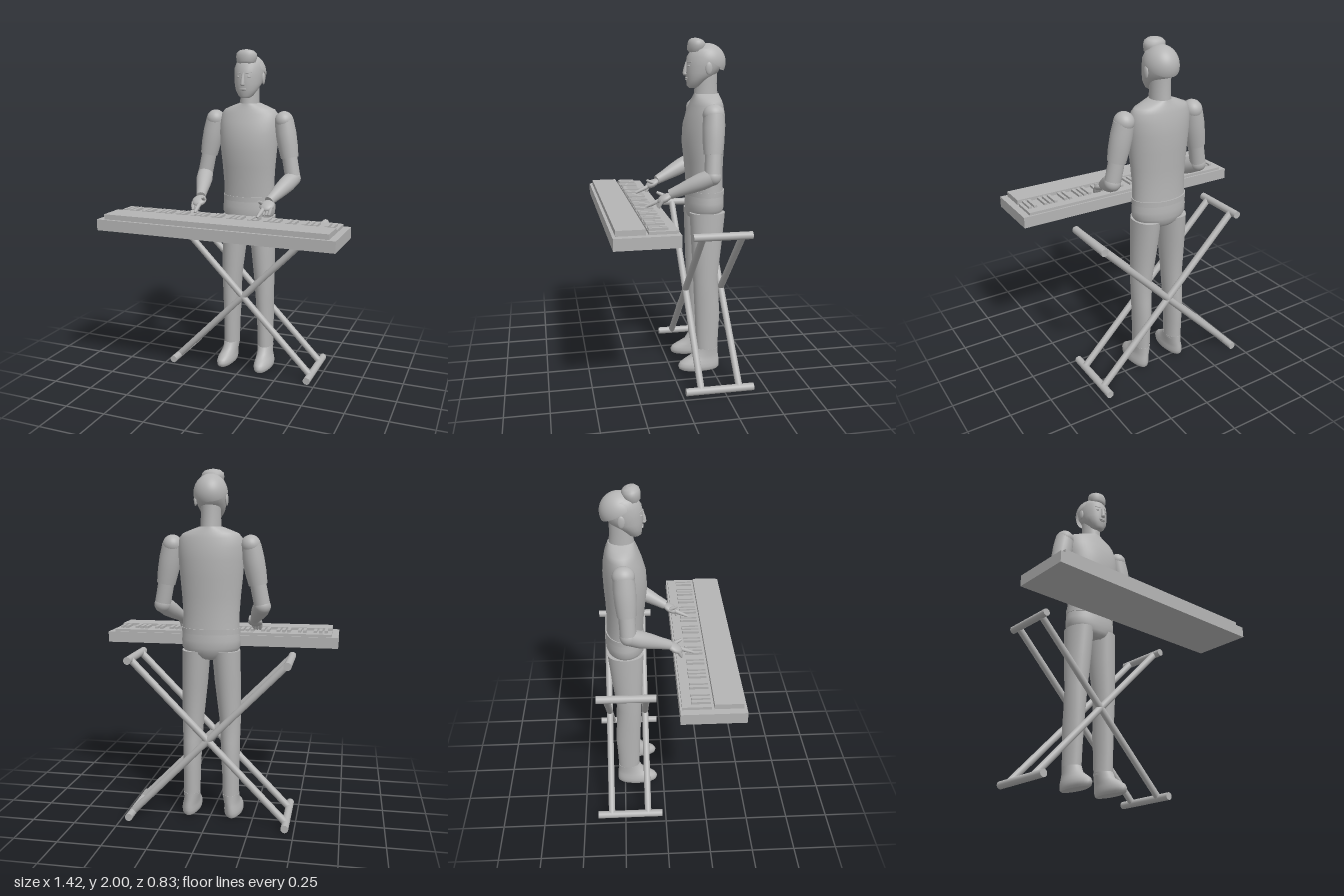
import * as THREE from 'three';

const grey = new THREE.MeshStandardMaterial({ color: 0xb4b4b4, side: THREE.DoubleSide });
grey.name = 'plain grey';
const V = (x, y, z) => new THREE.Vector3(x, y, z);

// Closed loft through elliptical rings, bottom to top: [y, centreX, halfWidth, zFront, zBack]
function loft(rings, n = 32) {
  const pos = [], idx = [];
  const addRing = ([y, cx, hx, zf, zb]) => {
    for (let i = 0; i <= n; i++) {
      const a = (i / n) * Math.PI * 2;
      pos.push(cx + hx * Math.cos(a), y, (zf + zb) / 2 + ((zf - zb) / 2) * Math.sin(a));
    }
  };
  rings.forEach(addRing);
  const w = n + 1;
  for (let r = 0; r < rings.length - 1; r++) {
    for (let i = 0; i < n; i++) {
      const a = r * w + i;
      idx.push(a, a + w, a + 1, a + 1, a + w, a + w + 1);
    }
  }
  for (const top of [false, true]) {
    const ring = top ? rings[rings.length - 1] : rings[0];
    const start = pos.length / 3;
    addRing(ring);
    pos.push(ring[1], ring[0], (ring[3] + ring[4]) / 2);
    for (let i = 0; i < n; i++) {
      if (top) idx.push(start + w, start + i + 1, start + i);
      else idx.push(start + w, start + i, start + i + 1);
    }
  }
  const g = new THREE.BufferGeometry();
  g.setAttribute('position', new THREE.Float32BufferAttribute(pos, 3));
  g.setIndex(idx);
  g.computeVertexNormals();
  // Share the normal across each ring's seam
  const nor = g.attributes.normal;
  for (let r = 0; r < rings.length; r++) {
    const p = r * w, q = p + n;
    const m = V().fromBufferAttribute(nor, p).add(V().fromBufferAttribute(nor, q)).normalize();
    nor.setXYZ(p, m.x, m.y, m.z);
    nor.setXYZ(q, m.x, m.y, m.z);
  }
  return g;
}

export function createModel() {
  const model = new THREE.Group();
  const add = (name, geometry, x = 0, y = 0, z = 0) => {
    const mesh = new THREE.Mesh(geometry, grey);
    mesh.name = name;
    mesh.position.set(x, y, z);
    model.add(mesh);
    return mesh;
  };
  const box = (name, x0, x1, y0, y1, z0, z1) =>
    add(name, new THREE.BoxGeometry(x1 - x0, y1 - y0, z1 - z0), (x0 + x1) / 2, (y0 + y1) / 2, (z0 + z1) / 2);
  const ball = (name, x, y, z, rx, ry = rx, rz = rx) =>
    add(name, new THREE.SphereGeometry(1, 28, 18).scale(rx, ry, rz), x, y, z);
  // Round limb from a to b, radii evenly spaced along it
  const limb = (name, a, b, radii, n = 24) => {
    const len = a.distanceTo(b);
    const mesh = add(name, loft(radii.map((r, i) => [(len * i) / (radii.length - 1), 0, r, r, -r]), n), a.x, a.y, a.z);
    mesh.quaternion.setFromUnitVectors(V(0, 1, 0), b.clone().sub(a).normalize());
    return mesh;
  };

  // Keyboard
  box('keyboardBase', -0.71, 0.71, 0.965, 1.03, 0.06, 0.412);
  box('controlPanel', -0.67, 0.67, 1.03, 1.06, 0.24, 0.395);
  box('whiteKeys', -0.67, 0.67, 1.03, 1.046, 0.07, 0.225);
  for (let octave = 0; octave < 6; octave++) {
    for (const k of [1, 2, 3, 5, 6]) {
      const x = -0.667 + ((octave * 7 + k) * 1.34) / 42;
      box('blackKey', x - 0.0095, x + 0.0095, 1.046, 1.06, 0.122, 0.223);
    }
  }

  // Crossed stand
  for (const s of [-1, 1]) {
    for (const z of [-0.335, -0.11]) limb('standLeg', V(-s * 0.45, 0.025, z), V(s * 0.45, 0.94, z), [0.02, 0.02]);
    limb('standFoot', V(s * 0.45, 0.023, -0.42), V(s * 0.45, 0.023, -0.02), [0.022, 0.022]);
    limb('standTopBar', V(s * 0.45, 0.938, -0.39), V(s * 0.45, 0.938, -0.055), [0.022, 0.022]);
  }

  // Torso, belt and hips
  add('shirt', loft([
    [1.1, 0, 0.163, -0.115, -0.33], [1.2, 0, 0.161, -0.108, -0.325], [1.3, 0, 0.168, -0.098, -0.327],
    [1.4, 0, 0.178, -0.086, -0.333], [1.5, 0, 0.186, -0.092, -0.336], [1.57, 0, 0.187, -0.113, -0.33],
    [1.62, 0, 0.178, -0.132, -0.32], [1.645, 0, 0.158, -0.142, -0.313], [1.665, 0, 0.11, -0.15, -0.305],
    [1.682, 0, 0.063, -0.154, -0.3]], 48));
  add('belt', loft([[1.088, 0, 0.167, -0.109, -0.336], [1.118, 0, 0.167, -0.109, -0.336]], 48));
  add('hips', loft([
    [0.94, 0, 0.06, -0.14, -0.28], [0.952, 0, 0.1, -0.122, -0.305], [0.975, 0, 0.145, -0.112, -0.325],
    [1.01, 0, 0.167, -0.107, -0.335], [1.05, 0, 0.168, -0.108, -0.336], [1.095, 0, 0.163, -0.114, -0.332]], 48));

  // Head
  add('neck', loft([[1.66, 0, 0.058, -0.152, -0.295], [1.74, 0, 0.056, -0.16, -0.288], [1.82, 0, 0.056, -0.16, -0.29]]));
  add('head', loft([
    [1.715, 0, 0.024, -0.125, -0.17], [1.727, 0, 0.043, -0.112, -0.195], [1.765, 0, 0.068, -0.107, -0.235],
    [1.8, 0, 0.08, -0.104, -0.29], [1.84, 0, 0.086, -0.105, -0.315], [1.89, 0, 0.087, -0.11, -0.325],
    [1.93, 0, 0.073, -0.135, -0.3], [1.955, 0, 0.04, -0.18, -0.27]]));
  const cap = new THREE.SphereGeometry(1, 40, 20, 0, Math.PI * 2, 0, 1.54).rotateX(-0.48);
  add('hair', cap.scale(0.095, 0.108, 0.108), 0, 1.86, -0.23);
  add('hairQuiff', loft([
    [-0.042, 0, 0.04, 0.035, -0.035], [-0.032, 0, 0.057, 0.046, -0.046], [0, 0, 0.064, 0.052, -0.052],
    [0.022, 0, 0.061, 0.049, -0.049], [0.036, 0, 0.045, 0.036, -0.036], [0.043, 0, 0.018, 0.015, -0.015]]),
  0, 1.953, -0.165).rotation.x = -0.2;
  limb('nose', V(0, 1.865, -0.107), V(0, 1.795, -0.097), [0.005, 0.008, 0.012, 0.012], 12);
  ball('noseTip', 0, 1.796, -0.099, 0.014, 0.011, 0.012);
  ball('upperLip', 0, 1.771, -0.108, 0.024, 0.005, 0.008);
  ball('lowerLip', 0, 1.763, -0.109, 0.018, 0.005, 0.008);

  for (const s of [-1, 1]) {
    // Face sides
    ball('eye', s * 0.031, 1.84, -0.117, 0.012, 0.007, 0.007);
    ball('pupil', s * 0.031, 1.84, -0.111, 0.005, 0.005, 0.004);
    limb('eyebrow', V(s * 0.014, 1.862, -0.109), V(s * 0.05, 1.864, -0.125), [0.003, 0.004, 0.002], 8);
    ball('ear', s * 0.088, 1.828, -0.22, 0.009, 0.035, 0.02);

    // Leg and shoe
    add('trouserLeg', loft([
      [0.125, s * 0.116, 0.048, -0.156, -0.287], [0.25, s * 0.115, 0.049, -0.15, -0.292],
      [0.36, s * 0.113, 0.053, -0.145, -0.298], [0.46, s * 0.111, 0.056, -0.14, -0.291],
      [0.6, s * 0.108, 0.063, -0.134, -0.283], [0.8, s * 0.096, 0.074, -0.124, -0.308],
      [0.99, s * 0.086, 0.08, -0.115, -0.328]]));
    add('shoe', loft([
      [0.005, s * 0.127, 0.042, -0.06, -0.285], [0.015, s * 0.127, 0.053, -0.045, -0.294],
      [0.035, s * 0.126, 0.055, -0.04, -0.297], [0.055, s * 0.125, 0.052, -0.052, -0.296],
      [0.075, s * 0.122, 0.048, -0.085, -0.294], [0.1, s * 0.118, 0.046, -0.13, -0.291],
      [0.14, s * 0.116, 0.049, -0.153, -0.29]]));

    // Arm
    const shoulder = V(s * 0.222, 1.58, -0.217), elbow = V(s * 0.288, 1.24, -0.2), wrist = V(s * 0.217, 1.135, 0.03);
    const hem = shoulder.clone().lerp(elbow, 0.64);
    ball('shoulder', shoulder.x, shoulder.y, shoulder.z, 0.056, 0.058, 0.062);
    limb('sleeve', shoulder, hem, [0.058, 0.062, 0.06, 0.053]);
    limb('upperArm', hem.clone().lerp(shoulder, 0.1), elbow, [0.046, 0.046, 0.046]);
    ball('elbow', elbow.x, elbow.y, elbow.z, 0.048);
    limb('forearm', elbow, wrist, [0.047, 0.05, 0.044, 0.035, 0.028]);

    // Hand with a pointing index finger
    ball('palm', s * 0.215, 1.113, 0.06, 0.043, 0.022, 0.047).rotation.x = 0.5;
    limb('indexFinger', V(s * 0.202, 1.1, 0.085), V(s * 0.194, 1.062, 0.17), [0.013, 0.012, 0.007], 12);
    limb('thumb', V(s * 0.187, 1.118, 0.05), V(s * 0.178, 1.143, 0.1), [0.012, 0.011, 0.007], 12);
    for (let i = 0; i < 3; i++) {
      const x = s * (0.212 + i * 0.017);
      limb('curledFinger', V(x, 1.105, 0.08), V(x - s * 0.006, 1.065, 0.1), [0.011, 0.011, 0.008], 12);
    }
  }
  return model;
}
